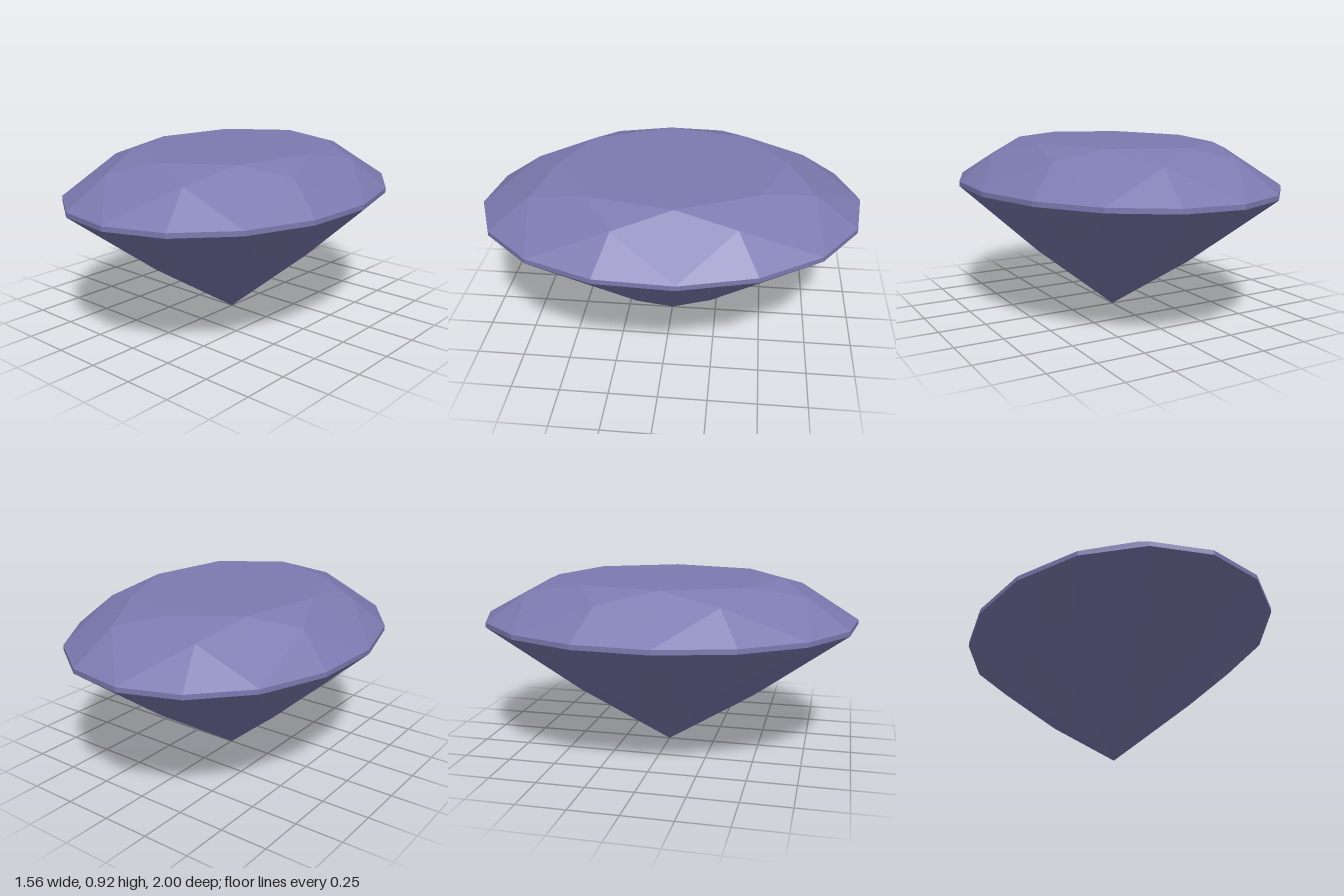
import * as THREE from 'three';

const SIDES = 16;
const TABLE_Y = 0.923, STAR_Y = 0.862, RIM_TOP = 0.708, RIM_BOTTOM = 0.683, MID_Y = 0.316;

// Point i of a slightly skewed oval ring, scaled by r, at height y
function ringPoint(i, r, y) {
  const t = (i / SIDES) * Math.PI * 2;
  return [0.788 * r * Math.sin(t + 0.143), y, 1.004 * r * Math.cos(t + 0.091)];
}

// Mesh of flat facets, each a convex polygon listed anticlockwise from outside
function facetMesh(name, facets, material) {
  const positions = [];
  for (const f of facets) {
    for (let k = 1; k < f.length - 1; k++) positions.push(...f[0], ...f[k], ...f[k + 1]);
  }
  const geometry = new THREE.BufferGeometry();
  geometry.setAttribute('position', new THREE.Float32BufferAttribute(positions, 3));
  geometry.computeVertexNormals();
  const mesh = new THREE.Mesh(geometry, material);
  mesh.name = name;
  return mesh;
}

export function createModel() {
  const violet = new THREE.MeshStandardMaterial({ color: 0x7c7ab0, flatShading: true });
  violet.name = 'violet gemstone';

  const table = (i) => ringPoint(i, 0.6, TABLE_Y);
  const star = (i) => ringPoint(i, 0.775, STAR_Y);
  const upper = (i) => ringPoint(i, 1, RIM_TOP);
  const lower = (i) => ringPoint(i, 1, RIM_BOTTOM);
  const mid = (i) => ringPoint(i, 0.5, MID_Y);
  const tip = [0, 0, 0];

  const top = [], crown = [], girdle = [], pavilion = [];
  for (let i = 0; i < SIDES; i += 2) {
    top.push(table(i));
    // Crown: kite, star and two rim triangles
    crown.push(
      [upper(i), star(i + 1), table(i), star(i - 1)],
      [star(i + 1), table(i + 2), table(i)],
      [upper(i), upper(i + 1), star(i + 1)],
      [upper(i + 1), upper(i + 2), star(i + 1)]
    );
    // Pavilion: long kite to the tip and two rim triangles
    pavilion.push(
      [tip, mid(i + 1), lower(i), mid(i - 1)],
      [mid(i + 1), lower(i + 1), lower(i)],
      [mid(i + 1), lower(i + 2), lower(i + 1)]
    );
  }
  // Thin upright rim
  for (let i = 0; i < SIDES; i++) girdle.push([lower(i), lower(i + 1), upper(i + 1), upper(i)]);

  const gem = new THREE.Group();
  gem.name = 'gemstone';
  gem.add(
    facetMesh('table', [top], violet),
    facetMesh('crown', crown, violet),
    facetMesh('girdle', girdle, violet),
    facetMesh('pavilion', pavilion, violet)
  );
  return gem;
}
